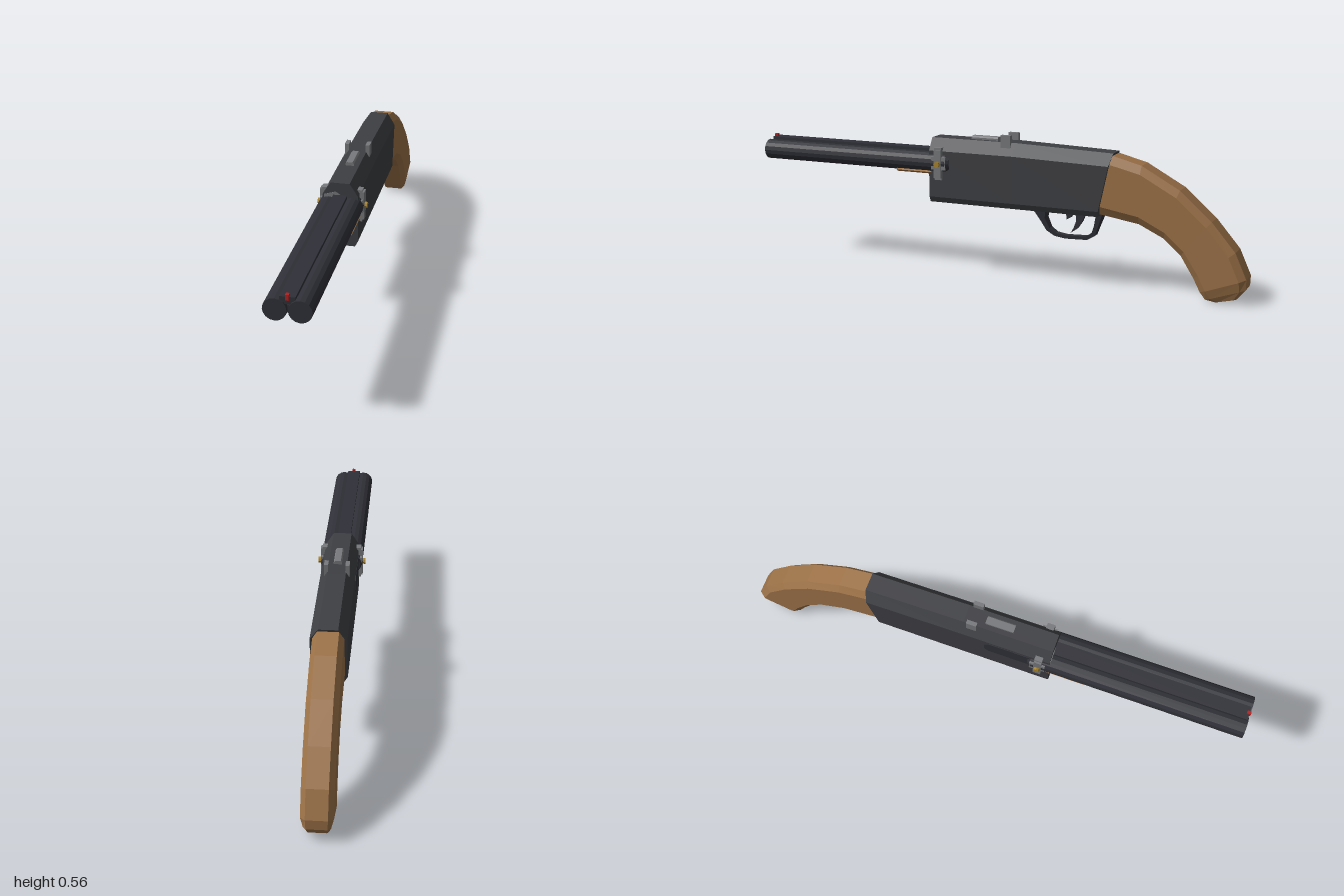
import * as THREE from 'three';

const mat = (color) => new THREE.MeshStandardMaterial({ color, flatShading: true });
const steel = mat(0x3e3f43), dark = mat(0x303138), grey = mat(0x77797c);
const wood = mat(0x9c7248), brass = mat(0xa8842f), red = mat(0xb3201f);

// Skin rings of [x, y, z] points (anticlockwise seen from +z, running towards -z)
function loft(rings) {
  const pos = [];
  const tri = (...pts) => pts.forEach((p) => pos.push(...p));
  const n = rings[0].length;
  for (let i = 0; i < rings.length - 1; i++) {
    for (let j = 0; j < n; j++) {
      const k = (j + 1) % n;
      const a = rings[i][j], b = rings[i][k], c = rings[i + 1][k], d = rings[i + 1][j];
      tri(a, d, b);
      tri(b, d, c);
    }
  }
  const first = rings[0], last = rings[rings.length - 1];
  for (let j = 1; j < n - 1; j++) {
    tri(first[0], first[j], first[j + 1]);
    tri(last[0], last[j + 1], last[j]);
  }
  const g = new THREE.BufferGeometry();
  g.setAttribute('position', new THREE.Float32BufferAttribute(pos, 3));
  g.computeVertexNormals();
  return g;
}

// Extrude a side outline of [z, y] points across x
function sideExtrude(points, width) {
  const shape = new THREE.Shape(points.map(([z, y]) => new THREE.Vector2(-z, y)));
  const g = new THREE.ExtrudeGeometry(shape, { depth: width, bevelEnabled: false });
  return g.translate(0, 0, -width / 2).rotateY(Math.PI / 2);
}

// Narrow a geometry towards its lower end
function taper(g, y0, w0, y1, w1) {
  const p = g.attributes.position;
  for (let i = 0; i < p.count; i++) {
    const t = (p.getY(i) - y0) / (y1 - y0);
    p.setX(i, Math.sign(p.getX(i)) * (w0 + (w1 - w0) * t));
  }
  g.computeVertexNormals();
  return g;
}

export function createModel() {
  const model = new THREE.Group();
  const add = (name, geometry, material, x = 0, y = 0, z = 0) => {
    const m = new THREE.Mesh(geometry, material);
    m.name = name;
    m.position.set(x, y, z);
    model.add(m);
    return m;
  };
  const box = (name, material, x0, x1, y0, y1, z0, z1) =>
    add(name, new THREE.BoxGeometry(x1 - x0, y1 - y0, z1 - z0), material,
      (x0 + x1) / 2, (y0 + y1) / 2, (z0 + z1) / 2);

  // Receiver: chamfered body with a slanted rear face
  const half = [[0.055, 0.283], [0.066, 0.305], [0.066, 0.487], [0.035, 0.535]];
  const section = [...half, ...half.map(([x, y]) => [-x, y]).reverse()];
  const drop = (y, d) => y - d * Math.max(0, (y - 0.305) / 0.23);
  add('receiver', loft([
    section.map(([x, y]) => [x, y, 0.25]),
    section.map(([x, y]) => [x, y, -0.1]),
    section.map(([x, y]) => [x, drop(y, 0.013), -0.44 - (y - 0.283) * 0.2]),
  ]), steel);

  // Stock: octagonal sections between an upper and a lower side curve
  const stations = [
    [-0.485, 0.515, -0.435, 0.292], [-0.6, 0.485, -0.595, 0.267],
    [-0.745, 0.405, -0.69, 0.222], [-0.865, 0.3, -0.755, 0.165],
    [-0.955, 0.195, -0.805, 0.085], [-0.998, 0.1, -0.83, 0.037],
  ];
  const ring = ([tz, ty, bz, by], w, flat) => {
    const at = (x, t) => [x, by + (ty - by) * t, bz + (tz - bz) * t];
    return [at(flat, 0), at(w, 0.14), at(w, 0.86), at(flat, 1),
      at(-flat, 1), at(-w, 0.86), at(-w, 0.14), at(-flat, 0)];
  };
  const stockRings = stations.map((s) => ring(s, 0.056, 0.038));
  stockRings.push(ring([-0.997, 0.062, -0.85, 0.01], 0.047, 0.036));
  stockRings.push(ring([-0.965, 0.023, -0.885, 0.003], 0.038, 0.032));
  add('stock', loft(stockRings), wood);

  // Paired barrels with capped muzzles, breech rims and side latches
  for (const s of [1, -1]) {
    const barrel = new THREE.CylinderGeometry(0.04, 0.04, 0.82, 16).rotateX(Math.PI / 2);
    add('barrel', barrel, dark, s * 0.042, 0.44, 0.59);
    const breech = new THREE.CylinderGeometry(0.04, 0.033, 0.015, 16).rotateX(Math.PI / 2);
    add('barrelBreech', breech, dark, s * 0.042, 0.44, 0.1725);

    const x0 = s > 0 ? 0.055 : -0.083;
    box('latch', grey, x0, x0 + 0.028, 0.383, 0.493, 0.192, 0.222);
    for (const y of [0.379, 0.497]) {
      const xi = s > 0 ? 0.055 : -0.076;
      box('latchEnd', grey, xi, xi + 0.021, y - 0.004, y + 0.004, 0.192, 0.222);
    }
    box('latchBand', grey, s > 0 ? 0.06 : -0.08, s > 0 ? 0.08 : -0.06, 0.415, 0.465, 0.175, 0.235);
    const pin = new THREE.CylinderGeometry(0.012, 0.012, 0.012, 8).rotateZ(Math.PI / 2);
    add('latchPin', pin, brass, s * 0.087, 0.437, 0.207);

    // Rear sight posts
    box('rearSight', grey, s * 0.04 - 0.008, s * 0.04 + 0.008, 0.5, 0.563, -0.085, -0.045);
  }

  // Rib between the barrels and the front bead
  box('rib', dark, -0.026, 0.026, 0.462, 0.488, 0.25, 0.995);
  box('barrelWeb', dark, -0.012, 0.012, 0.425, 0.455, 0.25, 0.985);
  box('frontBead', red, -0.006, 0.006, 0.477, 0.497, 0.985, 1);

  // Wooden fore-end: plate with a ridge filling the gap under the barrels
  const fore = [[0.06, 0.395], [0.073, 0.403], [0.06, 0.41], [0.022, 0.407], [0, 0.432]];
  const foreSection = [...fore, ...fore.slice(0, 4).map(([x, y]) => [-x, y]).reverse()];
  add('foreEnd', loft([0.39, 0.24].map((z) => foreSection.map(([x, y]) => [x, y, z]))), wood);

  // Breech plate showing around the barrels on one side
  const plate = new THREE.Shape([
    [-0.066, 0.37], [0.013, 0.37], [0.017, 0.4], [0, 0.49], [-0.018, 0.5], [-0.06, 0.487],
  ].map(([x, y]) => new THREE.Vector2(x, y)));
  add('breechPlate', new THREE.ExtrudeGeometry(plate, { depth: 0.003, bevelEnabled: false }),
    grey, 0, 0, 0.249);

  // Side port
  const port = [[0.18, 0.405], [0.18, 0.475], [0.01, 0.475], [-0.008, 0.46], [-0.008, 0.42], [0.008, 0.405]];
  add('sidePort', sideExtrude(port, 0.004), dark, -0.0655);

  // Top slide with chamfered crown
  const crown = [[0.016, 0.53], [0.016, 0.542], [0.011, 0.548], [-0.011, 0.548], [-0.016, 0.542], [-0.016, 0.53]];
  add('topSlide', loft([0.09, -0.02].map((z) => crown.map(([x, y]) => [x, y, z]))), grey);

  // Trigger guard: narrow strap, wider where it meets the receiver
  const guard = [
    [-0.165, 0.29], [-0.2, 0.24], [-0.222, 0.203], [-0.255, 0.183], [-0.3, 0.177], [-0.385, 0.18],
    [-0.418, 0.2], [-0.43, 0.235], [-0.45, 0.29], [-0.425, 0.29], [-0.415, 0.24], [-0.405, 0.21],
    [-0.38, 0.193], [-0.3, 0.19], [-0.26, 0.196], [-0.235, 0.213], [-0.217, 0.25], [-0.222, 0.29],
  ];
  add('triggerGuard', taper(sideExtrude(guard, 0.04), 0.177, 0.011, 0.29, 0.026), dark);

  // Trigger pair
  const trigger = [[-0.335, 0.29], [-0.38, 0.29], [-0.365, 0.25], [-0.345, 0.22], [-0.318, 0.2],
    [-0.33, 0.222], [-0.34, 0.25]];
  add('rearTrigger', sideExtrude(trigger, 0.014), dark);
  const front = [[-0.29, 0.29], [-0.325, 0.29], [-0.32, 0.262], [-0.3, 0.25], [-0.3, 0.265]];
  add('frontTrigger', sideExtrude(front, 0.014), dark);

  return model;
}
